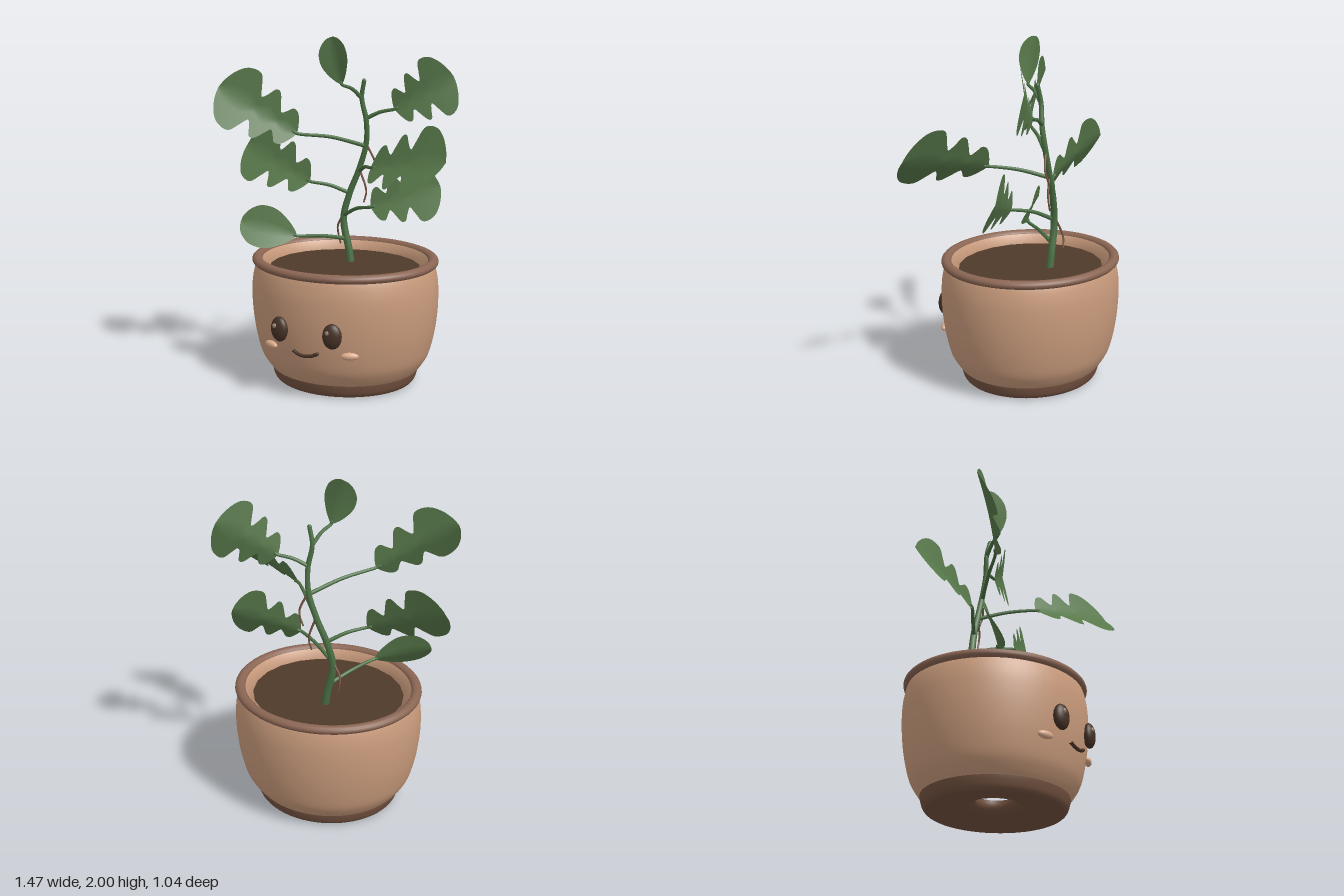
import * as THREE from 'three';

const mat = (name, color, side = THREE.FrontSide) => {
  const m = new THREE.MeshStandardMaterial({ color, side });
  m.name = name;
  return m;
};
const V = (a) => new THREE.Vector3(...a);
const P = (list) => list.map(([x, y]) => new THREE.Vector2(x, y));

export function createModel() {
  const clay = mat('clay', 0xc99b7c);
  const rimClay = mat('rim clay', 0x8a6553);
  const footClay = mat('foot clay', 0x72513f);
  const soilMat = mat('soil', 0x4e3a2a);
  const dark = mat('dark brown', 0x463226);
  const cheekMat = mat('cheek', 0xd9aa8a);
  const shine = mat('eye shine', 0x9a8472);
  const leafMat = mat('leaf green', 0x57784a, THREE.DoubleSide);
  const stemMat = mat('stem green', 0x4a6f43);
  const rootMat = mat('root brown', 0x75503f);

  const model = new THREE.Group();
  model.name = 'pottedPlant';
  const add = (parent, name, geometry, material, pos = [0, 0, 0], scale = [1, 1, 1]) => {
    const m = new THREE.Mesh(geometry, material);
    m.name = name;
    m.position.set(...pos);
    m.scale.set(...scale);
    parent.add(m);
    return m;
  };
  // Round tube through points, tapering from radius r0 to r1
  const tube = (parent, name, pts, r0, r1, material) => {
    const curve = new THREE.CatmullRomCurve3(pts.map(V));
    const rings = pts.length * 6, sides = 8;
    const g = new THREE.TubeGeometry(curve, rings, r0, sides);
    const p = g.attributes.position, v = new THREE.Vector3();
    for (let i = 0; i < p.count; i++) {
      const t = Math.floor(i / (sides + 1)) / rings;
      const c = curve.getPointAt(t);
      v.fromBufferAttribute(p, i).sub(c).multiplyScalar(1 + (r1 / r0 - 1) * t).add(c);
      p.setXYZ(i, v.x, v.y, v.z);
    }
    add(parent, name, g, material);
    add(parent, name + 'Tip', new THREE.SphereGeometry(r1, 8, 6), material, pts[pts.length - 1]);
  };

  // Pot, slightly narrower from front to back
  const pot = new THREE.Group();
  pot.name = 'pot';
  pot.position.set(-0.021, 0, -0.013);
  pot.scale.z = 0.92;
  model.add(pot);
  const lathe = (name, pts, m) => add(pot, name, new THREE.LatheGeometry(P(pts), 64), m);
  const body = new THREE.SplineCurve(P([[0.437, 0.08], [0.465, 0.115], [0.5, 0.175], [0.526, 0.27],
    [0.543, 0.37], [0.552, 0.48], [0.55, 0.59], [0.536, 0.67], [0.52, 0.715]]));
  lathe('potBody', body.getPoints(32).map((p) => [p.x, p.y]), clay);
  lathe('potInside', [[0.49, 0.725], [0.445, 0.66], [0.43, 0.28]], clay);
  const foot = new THREE.SplineCurve(P([[0.115, 0.11], [0.115, 0.075], [0.145, 0.045], [0.23, 0.022],
    [0.33, 0.006], [0.39, 0.002], [0.418, 0.02], [0.432, 0.055], [0.438, 0.085]]));
  lathe('potFoot', foot.getPoints(32).map((p) => [p.x, p.y]), footClay);
  const rim = add(pot, 'potRim', new THREE.TorusGeometry(0.52, 0.031, 14, 64), rimClay, [0, 0.72, 0], [1, 1, 0.8]);
  rim.rotation.x = Math.PI / 2;
  const soil = add(pot, 'soil', new THREE.CircleGeometry(0.446, 22), soilMat, [0, 0.675, 0]);
  soil.rotation.x = -Math.PI / 2;

  // Face
  const face = new THREE.Group();
  face.name = 'face';
  face.position.x = -0.021;
  model.add(face);
  const ball = new THREE.SphereGeometry(1, 24, 16);
  for (const s of [-1, 1]) {
    const side = s > 0 ? 'left' : 'right';
    add(face, side + 'Eye', ball, dark, [s * 0.164, 0.408, 0.484], [0.055, 0.072, 0.034]).rotation.y = s * 0.2;
    add(face, side + 'EyeShine', ball, shine, [s * 0.164 - 0.016, 0.432, 0.512], [0.014, 0.014, 0.009]);
    add(face, side + 'Cheek', ball, cheekMat, [s * 0.247, 0.291, 0.432], [0.05, 0.022, 0.02]).rotation.y = s * 0.4;
  }
  tube(face, 'mouth', [[-0.075, 0.297, 0.488], [-0.04, 0.282, 0.493], [0, 0.276, 0.495],
    [0.04, 0.282, 0.493], [0.075, 0.297, 0.488]], 0.01, 0.01, dark);

  // Stem and hanging roots
  tube(model, 'stem', [[-0.04, 0.66, -0.13], [-0.053, 0.745, -0.132], [-0.088, 0.93, -0.132], [-0.053, 1.085, -0.142],
    [0, 1.22, -0.15], [0.05, 1.385, -0.148], [0.058, 1.52, -0.13], [0.038, 1.65, -0.112], [0.058, 1.75, -0.1]],
  0.024, 0.013, stemMat);
  [
    [[0.05, 1.38, -0.15], [0.094, 1.28, -0.17], [0.09, 1.24, -0.18], [0.07, 1.19, -0.185]],
    [[0.005, 1.23, -0.15], [0.04, 1.13, -0.16], [0.043, 1.09, -0.165], [0.028, 1.035, -0.165]],
    [[-0.088, 0.96, -0.135], [-0.135, 0.88, -0.15], [-0.14, 0.83, -0.165], [-0.127, 0.77, -0.17]],
  ].forEach((pts) => tube(model, 'airRoot', pts, 0.007, 0.005, rootMat));

  // Half outlines: position along the midrib, half width (1 = widest)
  const splitOutline = new THREE.SplineCurve(P([[0, 0.05], [0.03, 0.26], [0.09, 0.52], [0.16, 0.58], [0.21, 0.42],
    [0.26, 0.3], [0.31, 0.52], [0.37, 0.78], [0.43, 0.8], [0.48, 0.56], [0.53, 0.4], [0.58, 0.64],
    [0.64, 0.94], [0.72, 1], [0.83, 0.9], [0.92, 0.63], [0.98, 0.28], [1, 0]]));
  const wholeOutline = new THREE.SplineCurve(P([[0, 0], [0.06, 0.24], [0.2, 0.58], [0.4, 0.9], [0.57, 1],
    [0.75, 0.93], [0.9, 0.64], [0.98, 0.3], [1, 0]]));

  // Leaf blade: rows across the midrib, both halves folded gently towards the front
  function leafGeometry(base, tip, sideHint, halfWidth, outline) {
    const axis = tip.clone().sub(base);
    const length = axis.length();
    const dir = axis.clone().normalize();
    const side = sideHint.clone().addScaledVector(dir, -sideHint.dot(dir)).normalize();
    const normal = dir.clone().cross(side);
    if (normal.z < 0) normal.negate();
    const rows = outline.getPoints(85);
    const cols = 6, pos = [], index = [];
    rows.forEach((p, r) => {
      for (let c = 0; c <= cols; c++) {
        const v = (c / cols) * 2 - 1;
        const w = Math.max(p.y, 0) * halfWidth * v;
        const bend = 0.02 * length * Math.sin(Math.PI * p.x) + 0.2 * Math.abs(w);
        const q = base.clone().addScaledVector(axis, p.x).addScaledVector(side, w).addScaledVector(normal, bend);
        pos.push(q.x, q.y, q.z);
        if (r && c) {
          const d = r * (cols + 1) + c, b = d - cols - 1;
          index.push(b - 1, b, d, b - 1, d, d - 1);
        }
      }
    });
    const g = new THREE.BufferGeometry();
    g.setAttribute('position', new THREE.Float32BufferAttribute(pos, 3));
    g.setIndex(index);
    g.computeVertexNormals();
    return g;
  }

  // name, stalk start, blade base, blade tip, direction across the blade, half width, split
  [
    ['lowRightLeaf', [-0.07, 0.81, -0.13], [-0.255, 0.862, 0.14], [-0.572, 0.935, 0.24], [0.02, 0.22, -0.115], 0.125, false],
    ['midRightLeaf', [-0.055, 1.085, -0.14], [-0.26, 1.155, -0.03], [-0.725, 1.335, -0.11], [0.163, 0.3, -0.12], 0.187, true],
    ['highRightLeaf', [0.045, 1.37, -0.145], [-0.26, 1.457, 0.125], [-0.69, 1.715, 0.26], [0.12, 0.3, -0.145], 0.192, true],
    ['topLeaf', [0.038, 1.65, -0.11], [-0.03, 1.735, 0.01], [-0.105, 1.998, 0.0], [0.16, 0.055, 0.02], 0.095, false],
    ['highLeftLeaf', [0.055, 1.53, -0.13], [0.22, 1.59, -0.165], [0.53, 1.78, -0.285], [-0.14, 0.29, 0.06], 0.182, true],
    ['midLeftLeaf', [0.005, 1.22, -0.15], [0.21, 1.295, 0.13], [0.735, 1.39, 0.345], [0.046, 0.33, -0.245], 0.208, true],
    ['lowLeftLeaf', [-0.088, 0.95, -0.13], [0.155, 1.045, 0.01], [0.53, 1.175, -0.11], [-0.1, 0.28, -0.06], 0.17, true],
  ].forEach(([name, start, base, tip, side, half, split]) => {
    const leaf = new THREE.Group();
    leaf.name = name;
    model.add(leaf);
    const mid = start.map((s, i) => s + (base[i] - s) * (i === 1 ? 0.68 : 0.5));
    const end = base.map((b, i) => b + (tip[i] - b) * 0.04);
    tube(leaf, 'stalk', [start, mid, base, end], 0.012, 0.009, stemMat);
    add(leaf, 'blade', leafGeometry(V(base), V(tip), V(side), half, split ? splitOutline : wholeOutline), leafMat);
  });
  return model;
}
